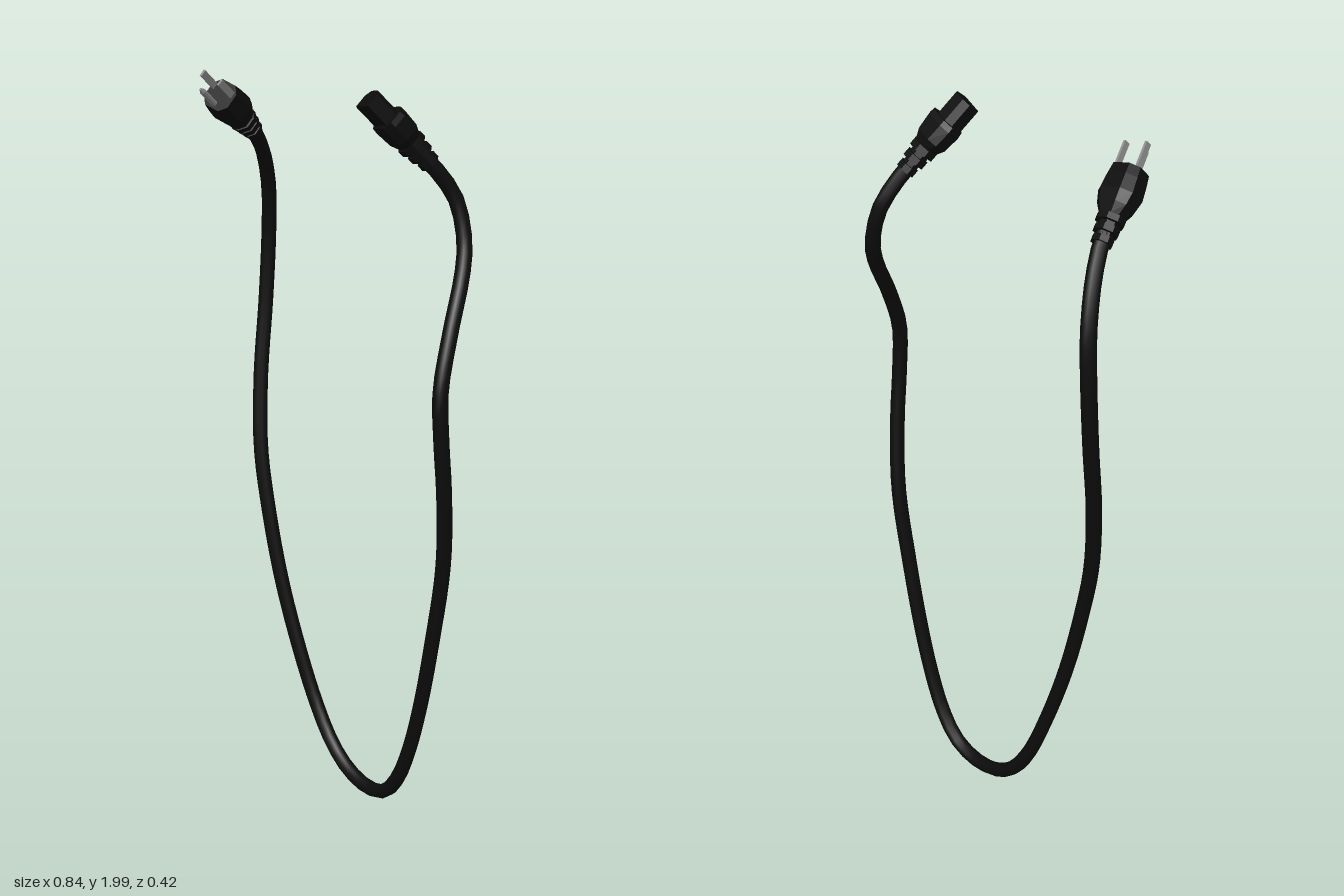
import * as THREE from 'three';

const V = (x, y, z) => new THREE.Vector3(x, y, z);

// Flat-faced solid swept along +z: each station is [z, half width, half height]
function loft(outline, stations) {
  const n = outline.length, pos = [];
  const p = (k, i) => {
    const [z, w, h] = stations[k], [x, y] = outline[i % n];
    return [x * w, y * h, z];
  };
  for (let k = 0; k < stations.length - 1; k++)
    for (let i = 0; i < n; i++)
      pos.push(...p(k, i), ...p(k, i + 1), ...p(k + 1, i + 1),
        ...p(k, i), ...p(k + 1, i + 1), ...p(k + 1, i));
  const last = stations.length - 1;
  for (let i = 1; i < n - 1; i++)
    pos.push(...p(last, 0), ...p(last, i), ...p(last, i + 1), ...p(0, 0), ...p(0, i + 1), ...p(0, i));
  const g = new THREE.BufferGeometry();
  g.setAttribute('position', new THREE.Float32BufferAttribute(pos, 3));
  g.computeVertexNormals();
  return g;
}

const octagon = Array.from({ length: 8 }, (_, i) => {
  const a = (i + 0.5) * Math.PI / 4;
  return [Math.cos(a), Math.sin(a)];
});
// Rectangle with its two upper corners cut off
const housing = [[1, -1], [1, 0.4], [0.5, 1], [-0.5, 1], [-1, 0.4], [-1, -1]];
// Rectangle with four bevelled corners
const bevelled = [[1, -0.5], [1, 0.5], [0.55, 1], [-0.55, 1], [-1, 0.5], [-1, -0.5], [-0.55, -1], [0.55, -1]];

// Ribbed strain relief, widening towards the head
function reliefStations(length, r0, r1, ribs) {
  const s = [];
  for (let i = 0; i < ribs; i++) {
    const r = r0 + (r1 - r0) * i / (ribs - 1), z = length * i / ribs, step = length / ribs;
    s.push([z, r, r], [z + step * 0.6, r, r], [z + step * 0.62, r * 0.82, r * 0.82], [z + step * 0.98, r * 0.82, r * 0.82]);
  }
  return s;
}

// Group whose local +z runs along dir
function headGroup(name, base, dir, upHint) {
  const z = dir.clone().normalize();
  const x = upHint.clone().cross(z).normalize();
  const y = z.clone().cross(x);
  const g = new THREE.Group();
  g.name = name;
  g.quaternion.setFromRotationMatrix(new THREE.Matrix4().makeBasis(x, y, z));
  g.position.copy(base);
  return g;
}

function slot(x, y, w, h) {
  const path = new THREE.Path();
  path.moveTo(x - w, y - h).lineTo(x - w, y + h).lineTo(x + w, y + h).lineTo(x + w, y - h).closePath();
  return path;
}

export function createModel() {
  const model = new THREE.Group();
  model.name = 'powerCord';
  const rubber = new THREE.MeshStandardMaterial({ color: 0x0c0c0c });
  rubber.name = 'black rubber';
  const metal = new THREE.MeshStandardMaterial({ color: 0x8c8c8c });
  metal.name = 'grey metal';

  const add = (parent, name, geometry, material) => {
    const m = new THREE.Mesh(geometry, material);
    m.name = name;
    parent.add(m);
    return m;
  };

  // Cable
  const path = [
    [-0.31, 1.83, 0.01], [-0.325, 1.8, -0.02], [-0.355, 1.74, -0.065], [-0.385, 1.64, -0.102],
    [-0.4, 1.52, -0.112], [-0.4, 1.33, -0.1], [-0.385, 1.12, -0.07], [-0.36, 0.92, -0.05],
    [-0.33, 0.75, -0.052], [-0.29, 0.55, -0.065], [-0.24, 0.36, -0.085], [-0.18, 0.19, -0.105],
    [-0.11, 0.09, -0.11], [-0.03, 0.038, -0.11], [0.06, 0.023, -0.11], [0.13, 0.045, -0.11],
    [0.185, 0.11, -0.11], [0.23, 0.21, -0.11], [0.275, 0.36, -0.11], [0.32, 0.57, -0.11],
    [0.36, 0.8, -0.108], [0.385, 1.0, -0.085], [0.395, 1.15, -0.064], [0.393, 1.28, -0.06],
    [0.37, 1.41, -0.105], [0.33, 1.55, -0.175], [0.31, 1.62, -0.195], [0.285, 1.72, -0.186],
    [0.264, 1.8, -0.134], [0.255, 1.825, -0.112],
  ].map(p => V(...p));
  const curve = new THREE.CatmullRomCurve3(path);
  add(model, 'cable', new THREE.TubeGeometry(curve, 90, 0.02, 10), rubber);

  // Wall plug with two blades and a ground pin
  const plug = headGroup('wallPlug', V(-0.32, 1.81, -0.01), V(0.31, 0.6, 0.73), V(0.09, 0.79, -0.61));
  model.add(plug);
  add(plug, 'plugStrainRelief', loft(octagon, reliefStations(0.08, 0.027, 0.036, 3)), rubber);
  add(plug, 'plugBody', loft(bevelled, [
    [0.07, 0.028, 0.028], [0.095, 0.042, 0.038], [0.125, 0.05, 0.044],
    [0.165, 0.046, 0.042], [0.192, 0.042, 0.039]]), rubber);
  for (const side of [-1, 1]) {
    const blade = add(plug, side < 0 ? 'rightBlade' : 'leftBlade', new THREE.BoxGeometry(0.006, 0.018, 0.075), metal);
    blade.position.set(side * 0.031, 0.014, 0.222);
  }
  add(plug, 'groundPin', loft(octagon, [
    [0.185, 0.008, 0.008], [0.255, 0.008, 0.008], [0.268, 0.003, 0.003]]), metal)
    .position.set(0, -0.026, 0);

  // Appliance connector
  const socket = headGroup('applianceConnector', V(0.26, 1.81, -0.125), V(-0.27, 0.73, 0.64), V(0, 0.66, -0.75));
  model.add(socket);
  add(socket, 'connectorStrainRelief', loft(octagon, reliefStations(0.09, 0.026, 0.036, 3)), rubber);
  add(socket, 'connectorGrip', loft(bevelled, [
    [0.075, 0.028, 0.026], [0.1, 0.042, 0.034], [0.145, 0.047, 0.036], [0.16, 0.045, 0.035]]), rubber);

  // Front housing with three contact slots
  const face = new THREE.Shape(housing.map(([x, y]) => new THREE.Vector2(x * 0.032, y * 0.025)));
  face.holes.push(slot(-0.017, -0.006, 0.003, 0.008), slot(0.017, -0.006, 0.003, 0.008), slot(0, 0.008, 0.003, 0.008));
  add(socket, 'connectorHousing', new THREE.ExtrudeGeometry(face, { depth: 0.068, bevelEnabled: false }), rubber)
    .position.z = 0.158;

  return model;
}
